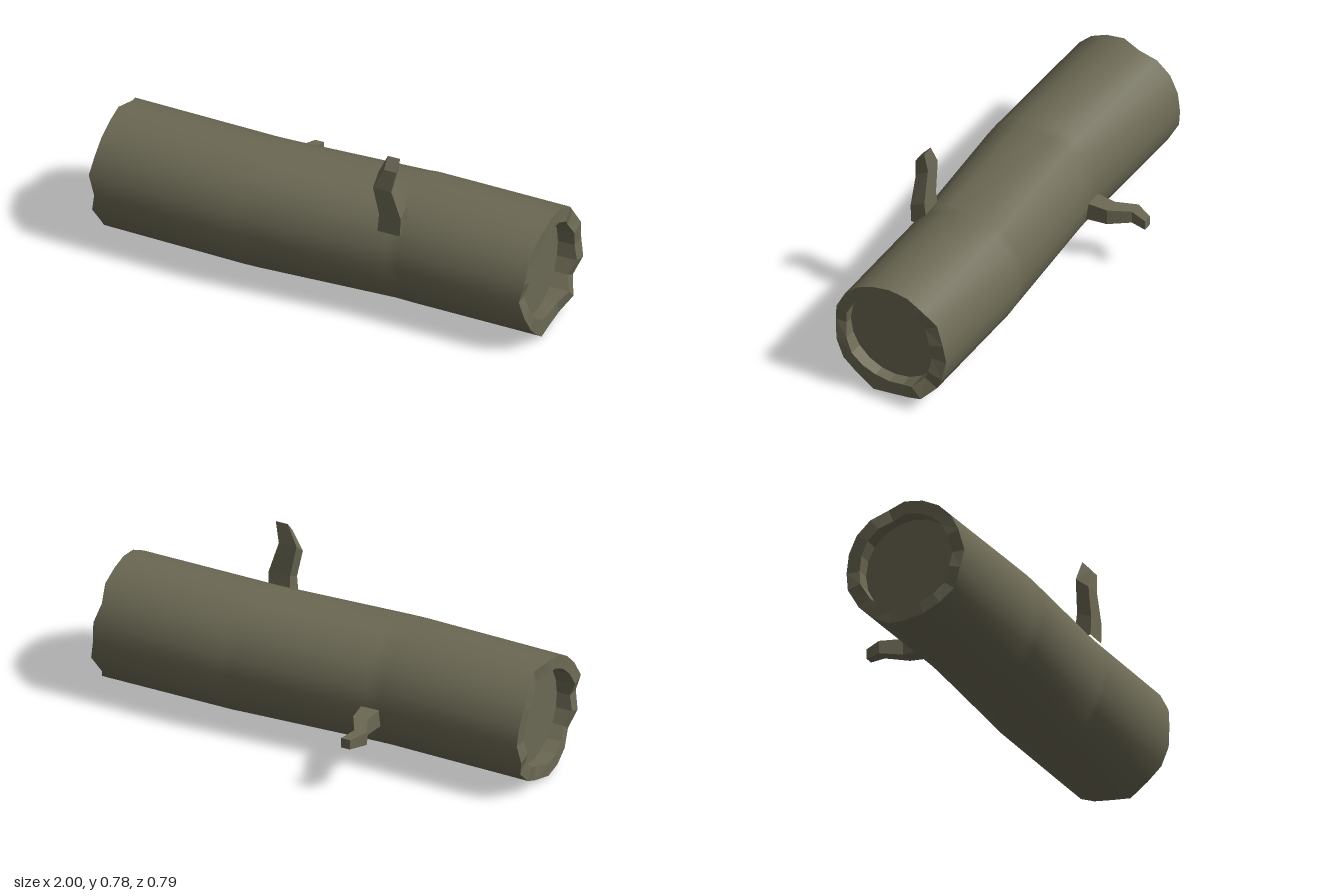
import * as THREE from 'three';

const SIDES = 20;
const bark = new THREE.MeshStandardMaterial({ color: 0x6b6853 });

// Skin a list of closed rings (each a list of [x, y, z]) into one surface
function loft(rings, smooth) {
  const n = rings[0].length;
  const index = [];
  for (let i = 0; i < rings.length - 1; i++) {
    for (let k = 0; k < n; k++) {
      const a = i * n + k, b = a + n;
      const c = i * n + (k + 1) % n, d = c + n;
      index.push(a, b, c, c, b, d);
    }
  }
  let geo = new THREE.BufferGeometry();
  geo.setAttribute('position', new THREE.Float32BufferAttribute(rings.flat(2), 3));
  geo.setIndex(index);
  if (!smooth) geo = geo.toNonIndexed();
  geo.computeVertexNormals();
  return geo;
}

function part(name, rings, smooth) {
  const mesh = new THREE.Mesh(loft(rings, smooth), bark);
  mesh.name = name;
  return mesh;
}

// Ring around the trunk; steps run from the top towards the back
function trunkRing(x, cy, cz, r, adjust = (y) => y) {
  return Array.from({ length: SIDES }, (_, k) => {
    const a = (k / SIDES) * Math.PI * 2;
    const px = Array.isArray(x) ? x[k] : x;
    return [px, adjust(cy + Math.cos(a) * r, k), cz - Math.sin(a) * r];
  });
}

// Close a lofted shape by shrinking its last ring to a point
function capped(rings) {
  const last = rings[rings.length - 1];
  const mid = [0, 1, 2].map((j) => last.reduce((s, p) => s + p[j], 0) / last.length);
  return [...rings, last.map(() => mid)];
}

export function createModel() {
  const group = new THREE.Group();
  group.name = 'log';

  // Ragged x position of every vertex around the broken ends
  const leftEdge = [-0.98, -0.955, -0.975, -0.98, -0.975, -0.97, -0.985, -0.96, -0.965, -0.955,
    -0.98, -0.98, -0.975, -0.96, -0.985, -0.97, -1.0, -0.99, -0.985, -0.98];
  const rightEdge = [0.98, 0.98, 0.985, 0.97, 0.99, 0.985, 1.0, 0.97, 1.0, 0.97,
    0.965, 0.965, 0.97, 0.975, 0.965, 0.945, 0.965, 0.965, 0.97, 0.98];

  // Trunk: gentle bend, flattened top in the middle, bulged corner low on the right
  const flatTop = (y) => Math.min(y, 0.54);
  const bulge = (y, k) => (k === 11 ? 0.004 : y);
  const left = trunkRing(leftEdge, 0.285, 0.097, 0.27);
  const right = trunkRing(rightEdge, 0.285, 0.1, 0.272, bulge);
  group.add(part('trunk', [
    left,
    trunkRing(-0.33, 0.285, 0.12, 0.271),
    trunkRing(-0.26, 0.285, 0.119, 0.271, flatTop),
    trunkRing(0.34, 0.285, 0.091, 0.271, flatTop),
    trunkRing(0.39, 0.286, 0.088, 0.272, bulge),
    right,
  ], true));

  // Ragged rims and the recessed end faces
  const leftInner = trunkRing(leftEdge, 0.285, 0.1, 0.213);
  const rightInner = trunkRing(rightEdge, 0.285, 0.108, 0.213);
  const leftFloor = trunkRing(-0.91, 0.285, 0.1, 0.213);
  const rightFloor = trunkRing(0.91, 0.285, 0.108, 0.213);
  group.add(part('leftRim', [leftFloor, leftInner, left], false));
  group.add(part('rightRim', [right, rightInner, rightFloor], false));
  group.add(part('leftEndFace', capped([leftFloor]).reverse(), true));
  group.add(part('rightEndFace', capped([rightFloor]), true));

  // Upright twig: [x0, x1, front y, front z, back y, back z]
  const upright = [
    [0.29, 0.39, 0.435, 0.33, 0.435, 0.255],
    [0.297, 0.395, 0.52, 0.33, 0.55, 0.265],
    [0.27, 0.352, 0.645, 0.33, 0.69, 0.272],
    [0.315, 0.37, 0.74, 0.32, 0.785, 0.28],
  ].map(([x0, x1, yf, zf, yb, zb]) => [[x1, yf, zf], [x0, yf, zf], [x0, yb, zb], [x1, yb, zb]]);
  group.add(part('uprightTwig', capped(upright), false));

  // Back twig: [left z, right z, x0, x1, bottom y, top y]
  const back = [
    [-0.12, -0.12, -0.325, -0.24, 0.2, 0.284],
    [-0.235, -0.235, -0.315, -0.247, 0.206, 0.277],
    [-0.325, -0.325, -0.355, -0.298, 0.214, 0.27],
    [-0.4, -0.4, -0.315, -0.275, 0.22, 0.264],
  ].map(([z0, z1, x0, x1, y0, y1]) => [[x1, y1, z1], [x0, y1, z0], [x0, y0, z0], [x1, y0, z1]]);
  group.add(part('backTwig', capped(back), false));

  return group;
}
